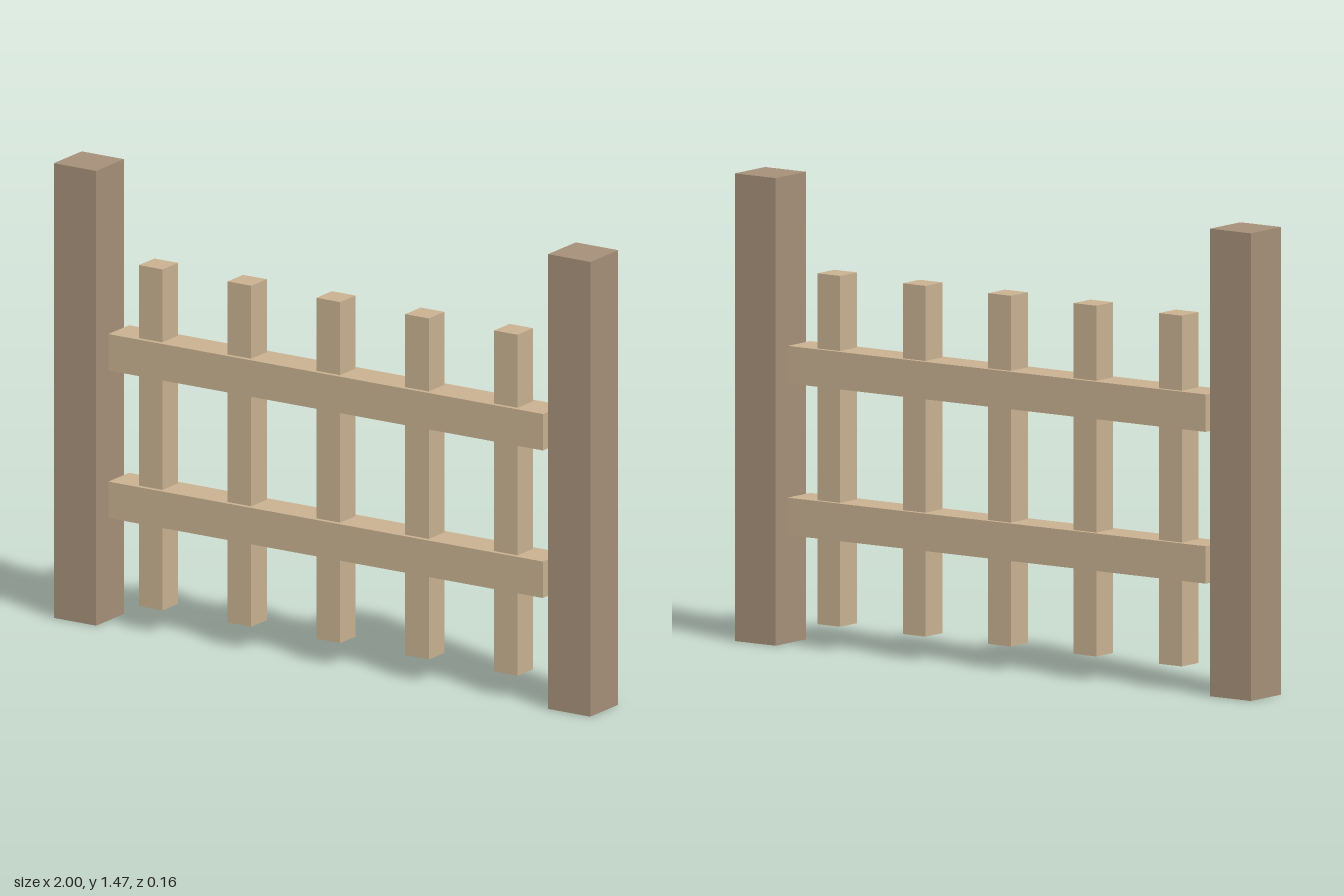
import * as THREE from 'three';

export function createModel() {
  const fence = new THREE.Group();
  fence.name = 'fence';
  const darkWood = new THREE.MeshStandardMaterial({ color: 0xa58f78, flatShading: true });
  const lightWood = new THREE.MeshStandardMaterial({ color: 0xc8b190, flatShading: true });

  // Square-section beam, centred at x, y
  const addBeam = (name, width, height, depth, x, y, material) => {
    const mesh = new THREE.Mesh(new THREE.BoxGeometry(width, height, depth), material);
    mesh.name = name;
    mesh.position.set(x, y, 0);
    fence.add(mesh);
  };

  // End posts
  const postWidth = 0.158, postHeight = 1.473;
  for (const [name, side] of [['leftPost', 1], ['rightPost', -1]]) {
    addBeam(name, postWidth, postHeight, postWidth, side * (1 - postWidth / 2), postHeight / 2, darkWood);
  }

  // Horizontal rails, stopping short of the posts
  addBeam('lowerRail', 1.62, 0.118, 0.118, 0, 0.408, lightWood);
  addBeam('upperRail', 1.62, 0.118, 0.118, 0, 0.886, lightWood);

  // Evenly spaced pickets passing through the rails
  for (let i = -2; i <= 2; i++) {
    addBeam(`picket${i + 3}`, 0.088, 1.105, 0.088, i * 0.331, 0.629, lightWood);
  }

  return fence;
}
